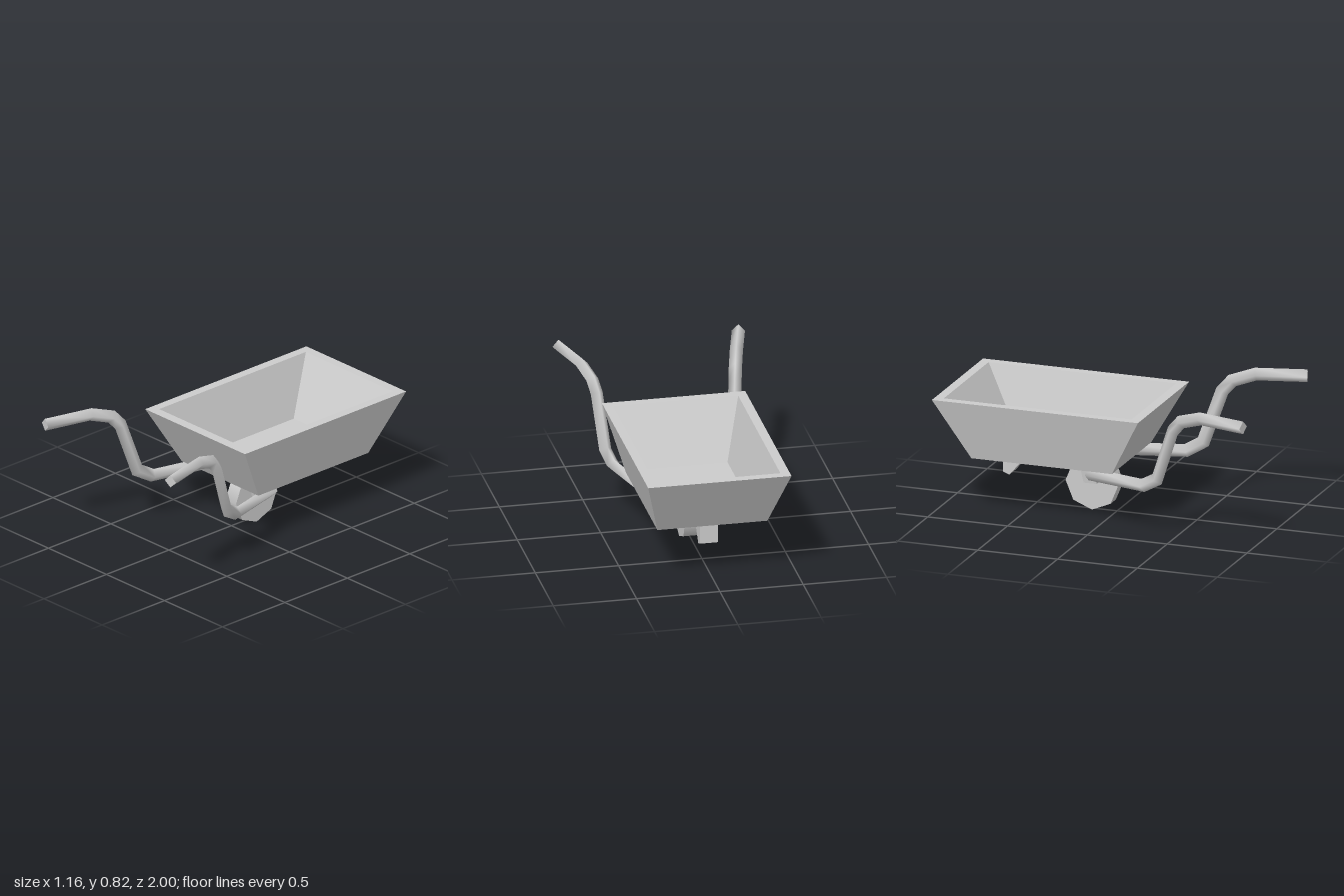
import * as THREE from 'three';
import { mergeGeometries } from 'three/addons/utils/BufferGeometryUtils.js';

const grey = () => new THREE.MeshStandardMaterial({ color: 0xcccccc });

// Four corners at height y, anticlockwise seen from above
const rect = (x0, x1, z0, z1, y) =>
  [[x0, z1], [x1, z1], [x1, z0], [x0, z0]].map(([x, z]) => new THREE.Vector3(x, y, z));

// Skins a series of four-cornered rings and closes both ends
function loft(rings, smooth = false) {
  const build = (points, index) => {
    const g = new THREE.BufferGeometry().setFromPoints(points);
    g.setIndex(index);
    const out = smooth ? g : g.toNonIndexed();
    out.computeVertexNormals();
    return out;
  };
  const sides = [];
  for (let i = 0; i < rings.length - 1; i++) {
    for (let j = 0; j < 4; j++) {
      const a = i * 4 + j, b = i * 4 + (j + 1) % 4;
      sides.push(a, b, b + 4, a, b + 4, a + 4);
    }
  }
  return mergeGeometries([
    build(rings.flat(), sides),
    build(rings[0], [0, 2, 1, 0, 3, 2]),
    build(rings[rings.length - 1], [0, 1, 2, 0, 2, 3]),
  ]);
}

// Square bar set on edge, mitred at every bend of the path
function bar(path, r) {
  const up = new THREE.Vector3(0, 1, 0);
  const dir = (i) => path[i + 1].clone().sub(path[i]).normalize();
  const last = path.length - 1;
  return loft(path.map((p, i) => {
    const before = dir(Math.max(i - 1, 0)), after = dir(Math.min(i, last - 1));
    const t = before.clone().add(after).normalize();
    const side = up.clone().cross(t).normalize();
    const n = t.clone().cross(side).multiplyScalar(r / t.dot(after));
    side.multiplyScalar(r);
    return [p.clone().add(side), p.clone().add(n), p.clone().sub(side), p.clone().sub(n)];
  }), true);
}

export function createModel() {
  const group = new THREE.Group();
  const add = (name, geometry) => {
    const mesh = new THREE.Mesh(geometry, grey());
    mesh.name = name;
    group.add(mesh);
    return mesh;
  };

  // Tray: up the outside, over the rim, down to the inner floor
  add('tray', loft([
    rect(-0.33, 0.33, -0.79, 0.09, 0.335),
    rect(-0.43, 0.43, -1.0, 0.29, 0.7),
    rect(-0.375, 0.375, -0.945, 0.23, 0.7),
    rect(-0.27, 0.27, -0.75, 0.04, 0.365),
  ]));

  // Tapered block that carries the wheel
  add('wheelMount', loft([
    rect(-0.055, 0.085, -0.19, -0.11, 0.17),
    rect(-0.075, 0.105, -0.22, -0.08, 0.337),
  ]));

  // Eight-sided wheel
  const rim = new THREE.CylinderGeometry(0.165, 0.165, 0.09, 8).rotateZ(Math.PI / 2);
  add('wheel', rim).position.set(0.015, 0.166, -0.147);

  // Wedge-shaped foot with a slanting sole
  const foot = rect(-0.055, 0.055, -0.695, -0.655, 0.167);
  foot[2].y = foot[3].y = 0.183;
  add('foot', loft([foot, rect(-0.055, 0.055, -0.695, -0.51, 0.337)]));

  // Cranked handles, splayed outwards
  const profile = [[-0.08, 0.298], [0.297, 0.298], [0.395, 0.355],
    [0.503, 0.672], [0.56, 0.737], [0.695, 0.782], [0.99, 0.782]];
  for (const [name, s] of [['leftHandle', 1], ['rightHandle', -1]]) {
    const path = profile.map(([z, y]) =>
      new THREE.Vector3(s * (0.265 + 0.257 * (z + 0.08)), y, z));
    add(name, bar(path, 0.039));
  }
  return group;
}
